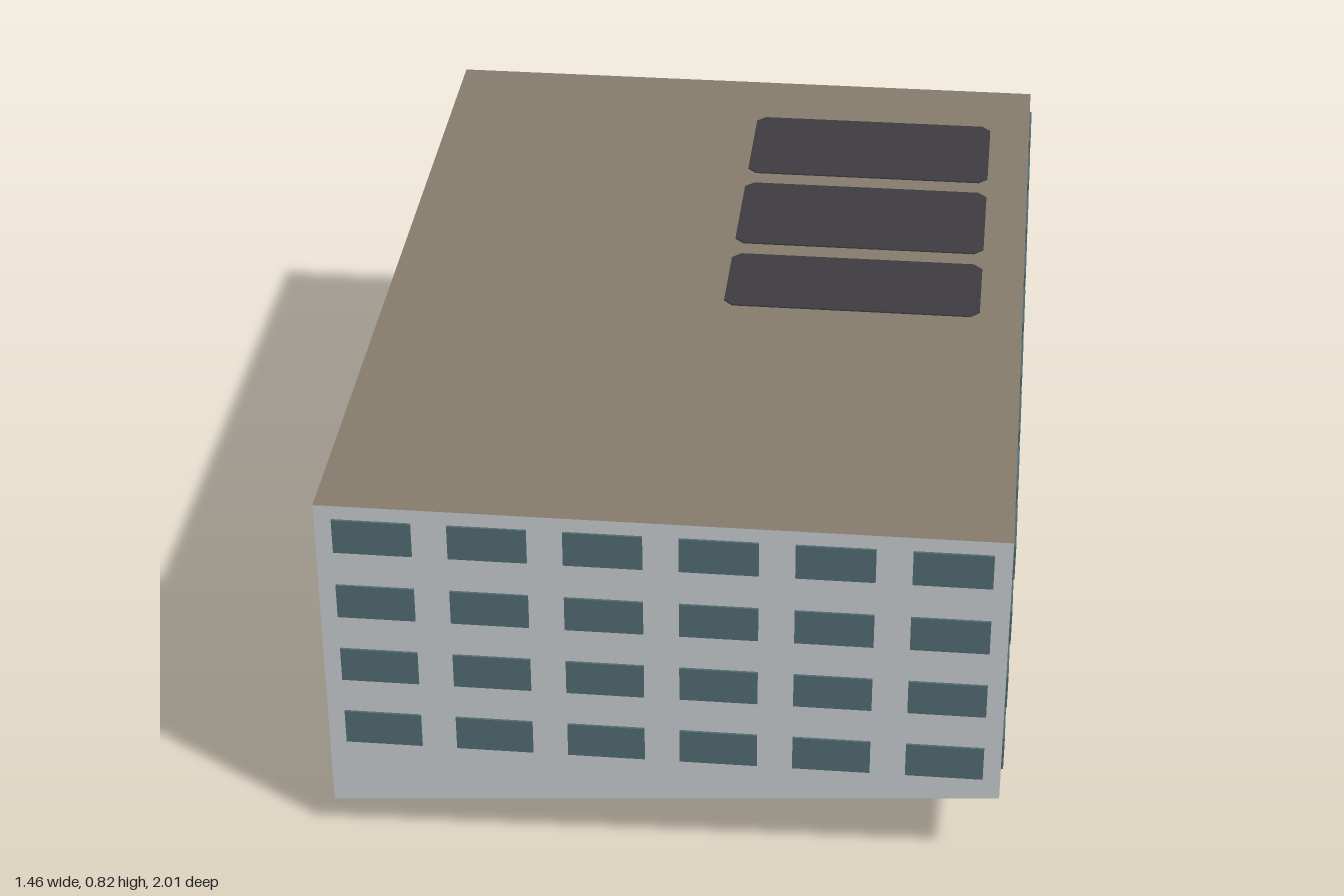
import * as THREE from 'three';

const HALF_W = 0.703, HALF_D = 0.984, TOP = 0.822;

export function createModel() {
  const model = new THREE.Group();
  model.name = 'officeBlock';

  const material = (name, color) => {
    const m = new THREE.MeshStandardMaterial({ color });
    m.name = name;
    return m;
  };
  const wall = material('pale grey wall', 0xc3c9cd);
  const roof = material('brown roof', 0x857b6b);
  const glass = material('teal glass', 0x50696f);
  const panel = material('dark roof panel', 0x3d3a40);

  const add = (name, geometry, mat, parent = model) => {
    const mesh = new THREE.Mesh(geometry, mat);
    mesh.name = name;
    parent.add(mesh);
    return mesh;
  };

  // Main block: level roof, base following sloping ground
  const block = new THREE.BoxGeometry(HALF_W * 2, 1, HALF_D * 2);
  const p = block.attributes.position;
  for (let i = 0; i < p.count; i++) {
    const ground = 0.09 + 0.0775 * p.getX(i) + 0.036 * p.getZ(i);
    p.setY(i, p.getY(i) > 0 ? TOP : ground);
  }
  block.computeVertexNormals();
  add('buildingBlock', block, [wall, wall, roof, wall, wall, wall]);

  // Four rows of slightly raised windows on each facade
  const rows = [0.27, 0.431, 0.591, 0.751];
  const addFacade = (name, angle, distance, count, pitch, width) => {
    const facade = new THREE.Group();
    facade.name = name;
    facade.rotation.y = angle;
    model.add(facade);
    const pane = new THREE.BoxGeometry(width, 0.079, 0.008);
    for (const y of rows) {
      for (let i = 0; i < count; i++) {
        add('window', pane, glass, facade)
          .position.set((i - (count - 1) / 2) * pitch, y, distance + 0.001);
      }
    }
  };
  addFacade('frontWindows', 0, HALF_D, 6, 0.2345, 0.161);
  addFacade('backWindows', Math.PI, HALF_D, 6, 0.2345, 0.161);
  addFacade('leftWindows', Math.PI / 2, HALF_W, 9, 0.2185, 0.151);
  addFacade('rightWindows', -Math.PI / 2, HALF_W, 9, 0.2185, 0.151);

  // Roof panels with clipped corners
  const addPanel = (x, z, w, d) => {
    const a = w / 2, b = d / 2, c = 0.02;
    const outline = new THREE.Shape([
      [-a + c, -b], [a - c, -b], [a, -b + c], [a, b - c],
      [a - c, b], [-a + c, b], [-a, b - c], [-a, -b + c],
    ].map(([u, v]) => new THREE.Vector2(u, v)));
    const geometry = new THREE.ExtrudeGeometry(outline, { depth: 0.003, bevelEnabled: false });
    geometry.rotateX(-Math.PI / 2);
    add('roofPanel', geometry, panel).position.set(x, TOP, z);
  };
  addPanel(0.327, -0.65, 0.565, 0.284);
  addPanel(0.327, -0.312, 0.565, 0.288);
  addPanel(0.327, -0.002, 0.565, 0.23);

  // The footprint sits slightly askew
  model.rotation.y = -0.0214;
  const root = new THREE.Group();
  root.name = 'building';
  root.add(model);
  return root;
}
